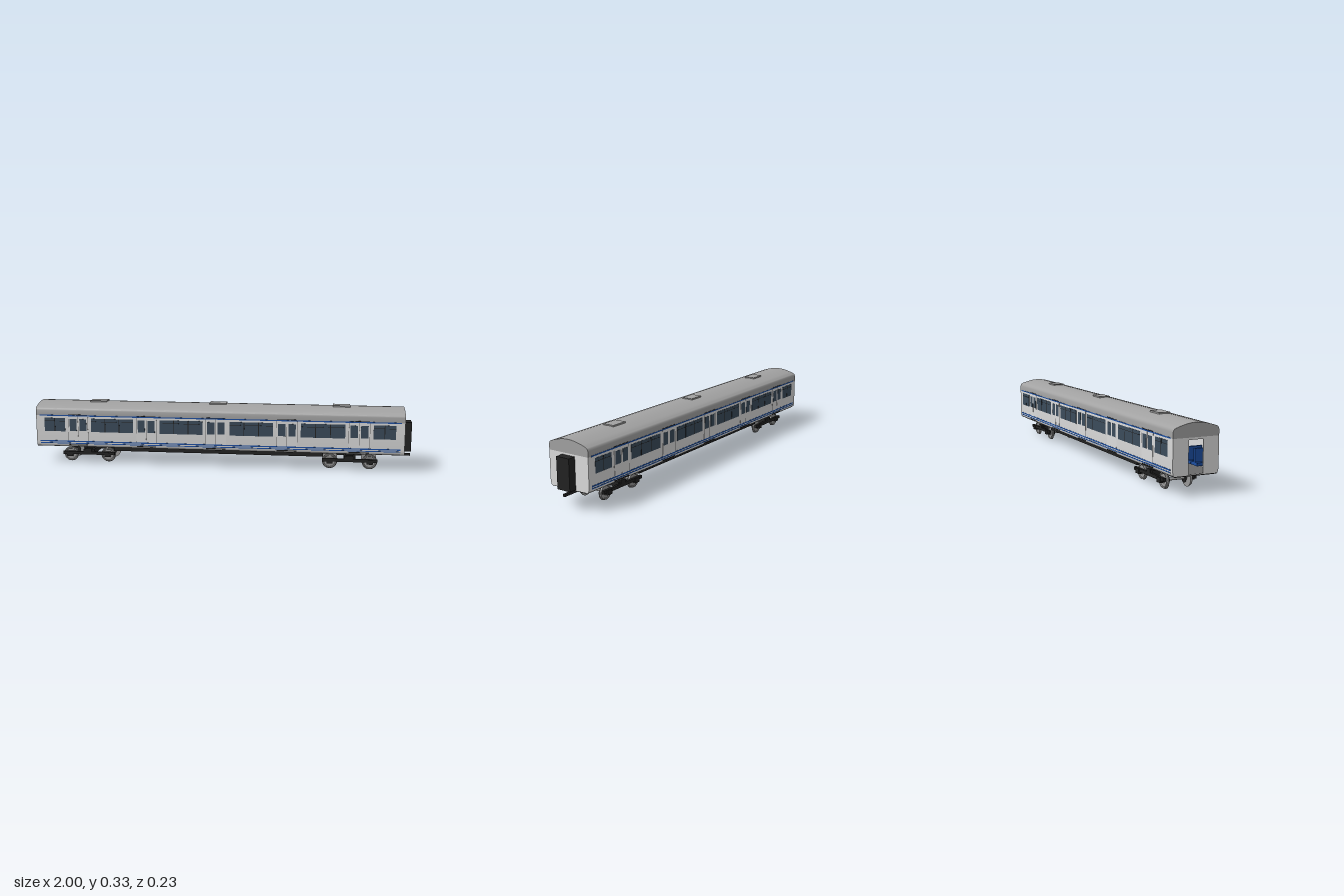
import * as THREE from 'three';
import { toCreasedNormals } from 'three/addons/utils/BufferGeometryUtils.js';

const mat = (name, color, extra = {}) => {
  const m = new THREE.MeshStandardMaterial({ color, ...extra });
  m.name = name;
  return m;
};

export function createModel() {
  const M = {
    body: mat('body light grey', 0xdcdcdc),
    roof: mat('roof grey', 0xa2a2a2),
    black: mat('underframe black', 0x222222),
    glass: mat('window glass', 0x3b4b5b),
    blue: mat('stripe blue', 0x1c4fa3),
    steel: mat('wheel steel', 0x989898),
    floor: mat('floor grey', 0x6a6a6a),
  };
  const root = new THREE.Group();
  root.name = 'railCarriage';
  const MID = -0.02, X0 = -1, X1 = 0.96;

  const add = (parent, name, geo, material, x = 0, y = 0, z = 0) => {
    const mesh = new THREE.Mesh(geo, material);
    mesh.name = name;
    mesh.position.set(x, y, z);
    parent.add(mesh);
    return mesh;
  };
  // box given by its limits
  const block = (parent, name, material, x0, x1, y0, y1, z0, z1) =>
    add(parent, name, new THREE.BoxGeometry(x1 - x0, y1 - y0, Math.abs(z1 - z0)), material,
      (x0 + x1) / 2, (y0 + y1) / 2, (z0 + z1) / 2);
  // cross-section (z, y) drawn out along x
  const along = (parent, name, shape, material, x0, x1) => {
    const geo = new THREE.ExtrudeGeometry(shape, { depth: x1 - x0, bevelEnabled: false });
    geo.rotateY(Math.PI / 2);
    return add(parent, name, toCreasedNormals(geo, 0.6), material, x0, 0, 0);
  };
  const shapeOf = pts => new THREE.Shape(pts.map(p => new THREE.Vector2(p[0], p[1])));
  const mirrored = pts => [...pts, ...pts.slice().reverse().map(([z, y]) => [-z, y])];

  // cross-section halves, from the bottom up
  const lower = [[0.105, 0.091], [0.111, 0.096], [0.114, 0.105], [0.1155, 0.118], [0.1155, 0.26]];
  const upper = [[0.1155, 0.26], [0.1155, 0.288], [0.113, 0.296], [0.108, 0.302], [0.1, 0.306],
    [0.08, 0.3125], [0.06, 0.318], [0.04, 0.3222], [0.02, 0.325], [0, 0.326]];
  const roofArc = mirrored(upper);
  const inner = roofArc.map(([z, y]) => [z * 0.95, 0.26 + (y - 0.26) * 0.92]);

  // body shell
  for (const s of [1, -1]) {
    const skin = [...lower, ...lower.slice().reverse().map(([z, y]) => [z - 0.005, y])];
    along(root, 'bodySide', shapeOf(skin.map(([z, y]) => [z * s, y])), M.body, X0, X1);
  }
  along(root, 'roof', shapeOf([...roofArc, ...inner.slice().reverse()]), M.roof, X0, X1);

  // end walls: the rear one has an open doorway
  for (const [x, open] of [[X0, true], [X1 - 0.006, false]]) {
    const wall = shapeOf(mirrored(lower));
    if (open) wall.holes.push(new THREE.Path([[-0.037, 0.097], [-0.037, 0.25], [0.037, 0.25], [0.037, 0.097]]
      .map(p => new THREE.Vector2(...p))));
    along(root, 'endWall', wall, M.body, x, x + 0.006);
    along(root, 'roofEnd', shapeOf(roofArc), M.roof, x, x + 0.006);
  }
  block(root, 'gangway', M.black, X1, 1, 0.096, 0.251, -0.037, 0.037);
  block(root, 'coupler', M.black, 0.9, 1, 0.067, 0.079, -0.006, 0.006);

  // floor
  block(root, 'floorUnderside', M.black, X0, X1, 0.09, 0.094, -0.105, 0.105);
  block(root, 'floor', M.floor, X0 + 0.006, X1 - 0.006, 0.094, 0.097, -0.105, 0.105);

  // roof vents
  for (const x of [-0.655, 0, 0.655])
    block(root, 'roofVent', M.roof, MID + x - 0.045, MID + x + 0.045, 0.322, 0.331, -0.03, 0.03);

  // sides: windows, doors and stripes
  const PITCH = 0.374;
  const windows = [[-0.934, -0.82, 1]];
  for (let i = -1.5; i <= 1.5; i++) windows.push([i * PITCH - 0.115, i * PITCH + 0.115, 2]);
  windows.push([0.82, 0.934, 1]);
  for (const s of [1, -1]) {
    const side = new THREE.Group();
    side.name = s > 0 ? 'frontSide' : 'backSide';
    root.add(side);
    const plate = (name, material, x0, x1, y0, y1, out) =>
      block(side, name, material, MID + x0, MID + x1, y0, y1, s * 0.114, s * out);

    for (const [a, b, bars] of windows) {
      plate('window', M.glass, a, b, 0.174, 0.247, 0.1165);
      for (let k = 1; k <= bars; k++) {
        const x = a + (b - a) * k / (bars + 1);
        plate('windowBar', M.black, x - 0.002, x + 0.002, 0.174, 0.247, 0.117);
      }
      plate('windowRail', M.black, a, b, 0.229, 0.231, 0.117);
    }
    for (let i = -2; i <= 2; i++) {
      const c = i * PITCH;
      plate('doorFrame', M.floor, c - 0.055, c + 0.055, 0.119, 0.2585, 0.1158);
      for (const d of [-1, 1]) {
        const m = c + d * 0.027;
        plate('doorLeaf', M.body, m - 0.026, m + 0.026, 0.119, 0.2575, 0.1164);
        plate('doorWindow', M.glass, m - 0.019, m + 0.019, 0.178, 0.243, 0.1172);
      }
      plate('doorTopRail', M.black, c - 0.052, c + 0.052, 0.264, 0.267, 0.117);
      plate('doorStep', M.black, c - 0.052, c + 0.052, 0.099, 0.103, 0.116);
    }
    plate('upperStripe', M.blue, -0.96, 0.96, 0.2575, 0.2635, 0.1168);
    plate('lowerStripe', M.blue, -0.96, 0.96, 0.117, 0.1235, 0.1168);
    plate('sillStripe', M.blue, -0.96, 0.96, 0.107, 0.1115, 0.1162);

    // seats in the bays between the doors
    for (const [a, b] of windows) for (const x of [a + 0.03, b - 0.03]) {
      block(side, 'seatCushion', M.blue, MID + x - 0.025, MID + x + 0.025, 0.118, 0.133, s * 0.037, s * 0.106);
      block(side, 'seatBack', M.blue, MID + x - 0.006, MID + x + 0.006, 0.133, 0.195, s * 0.037, s * 0.106);
    }
  }

  // underframe
  block(root, 'underframe', M.black, -0.585, 0.545, 0.064, 0.0905, -0.073, 0.073);

  // bogies: wheel profile (radius, distance across), flange on the inner side
  const wheelPts = [[0, 0], [0.04, 0], [0.04, 0.003], [0.037, 0.004], [0.0365, 0.012],
    [0.031, 0.012], [0.029, 0.009], [0.014, 0.009], [0.012, 0.013], [0, 0.013]];
  const wheelGeo = toCreasedNormals(
    new THREE.LatheGeometry(wheelPts.map(p => new THREE.Vector2(...p)), 32).rotateX(Math.PI / 2), 0.5);
  const rod = (r, len) => new THREE.CylinderGeometry(r, r, len, 24).rotateX(Math.PI / 2);
  const axleGeo = rod(0.0065, 0.14), discGeo = rod(0.021, 0.002), hubGeo = rod(0.012, 0.012);

  for (const bx of [-0.703, 0.703]) {
    const bogie = new THREE.Group();
    bogie.name = 'bogie';
    bogie.position.x = MID + bx;
    root.add(bogie);
    block(bogie, 'bolster', M.black, -0.03, 0.03, 0.044, 0.07, -0.08, 0.08);
    block(bogie, 'pivot', M.black, -0.02, 0.02, 0.065, 0.092, -0.05, 0.05);
    for (const s of [1, -1]) {
      block(bogie, 'sideFrame', M.black, -0.143, 0.143, 0.042, 0.058, s * 0.073, s * 0.086);
      block(bogie, 'airSpring', M.black, -0.017, 0.017, 0.058, 0.076, s * 0.066, s * 0.086);
    }
    for (const wx of [-0.104, 0.104]) {
      add(bogie, 'axle', axleGeo, M.steel, wx, 0.042, 0);
      for (const s of [1, -1]) {
        const wheel = add(bogie, 'wheel', wheelGeo, M.steel, wx, 0.04, s * 0.055);
        if (s < 0) wheel.rotation.y = Math.PI;
        add(bogie, 'brakeDisc', discGeo, M.black, wx, 0.041, s * 0.043);
        add(bogie, 'axleHub', hubGeo, M.black, wx, 0.042, s * 0.074);
        block(bogie, 'axleBox', M.black, wx - 0.016, wx + 0.016, 0.032, 0.056, s * 0.076, s * 0.09);
      }
    }
  }
  return root;
}
